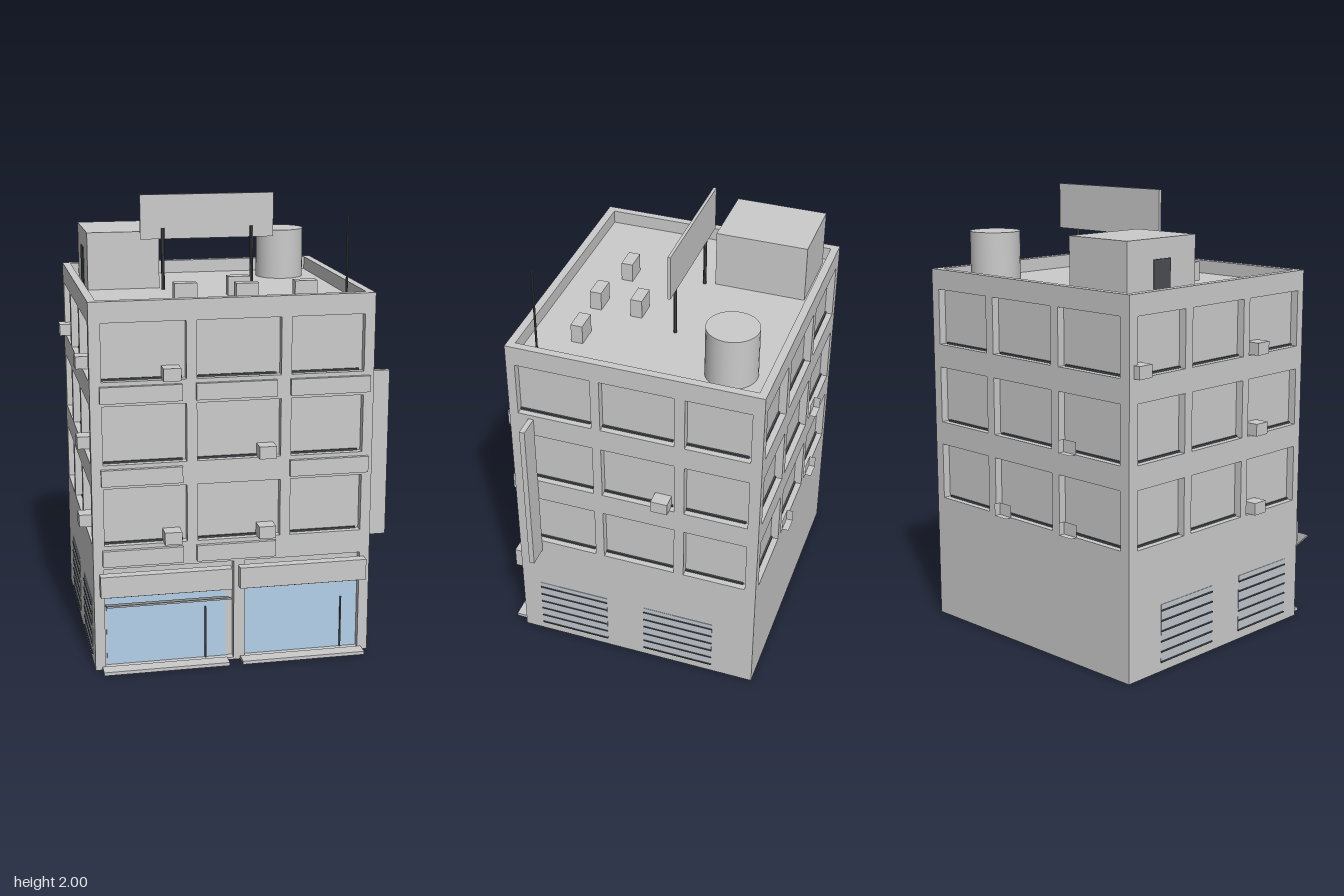
import * as THREE from 'three';

export function createModel() {
  const model = new THREE.Group();
  const paint = (color) => new THREE.MeshStandardMaterial({ color, flatShading: true });
  const grey = paint(0xcccccc), dark = paint(0x4a4d52), shade = paint(0x999999);
  const glass = paint(0xb4d0ea), vent = paint(0xc2c8d0);

  const add = (name, geo, mat = grey) => {
    const mesh = new THREE.Mesh(geo, mat);
    mesh.name = name;
    model.add(mesh);
    return mesh;
  };
  // Box given by its limits on each axis
  const box = (name, x0, x1, y0, y1, z0, z1, mat) => {
    const mesh = add(name, new THREE.BoxGeometry(x1 - x0, y1 - y0, z1 - z0), mat);
    mesh.position.set((x0 + x1) / 2, (y0 + y1) / 2, (z0 + z1) / 2);
    return mesh;
  };

  // Overall sizes
  const L = -0.65, R = 0.58, B = -0.62, F = 0.505, T = 0.035, H = 1.63, ROOF = 1.57;
  const rows = [[1.29, 1.54], [0.93, 1.185], [0.57, 0.825]];
  const columns = [[-0.6, -0.24], [-0.195, 0.17], [0.215, 0.535]];
  const bays = [[-0.465, -0.13], [-0.09, 0.24], [0.285, 0.57]]; // along -z
  const shops = [[-0.605, -0.035], [0.015, 0.535]];

  const grid = (cols) => cols.flatMap(([a, b]) => rows.map(([c, d]) => [a, b, c, d]));
  const outline = (target, [a, b, c, d]) => {
    target.moveTo(a, c).lineTo(b, c).lineTo(b, d).lineTo(a, d).closePath();
    return target;
  };
  // Wall slab with cut window openings
  const wall = (name, u0, u1, holes) => {
    const shape = outline(new THREE.Shape(), [u0, u1, 0, H]);
    shape.holes = holes.map((h) => outline(new THREE.Path(), h));
    return add(name, new THREE.ExtrudeGeometry(shape, { depth: T, bevelEnabled: false }));
  };

  // Core, whose faces close the back of every opening and form the roof
  box('core', L + T, R - T, 0, ROOF, B + T, F - T);
  const shopHoles = shops.map(([a, b]) => [a, b, 0.01, 0.465]);
  wall('frontWall', L, R, [...grid(columns), ...shopHoles]).position.z = F - T;
  wall('backWall', L, R, grid(columns)).position.z = B;
  for (const [name, x] of [['rightWall', R - T], ['leftWall', L]]) {
    const side = wall(name, -F + T, -B - T, grid(bays));
    side.rotation.y = Math.PI / 2;
    side.position.x = x;
  }

  // Dark strip along the foot of each window
  for (const [y] of rows) {
    for (const [a, b] of columns) {
      box('windowSill', a, b - 0.015, y, y + 0.008, F - T, F - T + 0.008, dark);
      box('windowSill', a, b - 0.015, y, y + 0.008, B + T - 0.008, B + T, dark);
    }
    for (const [a, b] of bays) {
      box('windowSill', R - T, R - T + 0.008, y, y + 0.008, -b + 0.015, -a, dark);
      box('windowSill', L + T - 0.008, L + T, y, y + 0.008, -b + 0.015, -a, dark);
    }
  }

  // Shop fronts: glass, lintel, door bar, sign board and step
  const fronts = [
    { pane: [-0.595, -0.065], bar: -0.157, sign: [-0.625, -0.05], step: [-0.62, -0.065] },
    { pane: [0.015, 0.535], bar: 0.46, sign: [-0.015, 0.555], step: [-0.005, 0.55] },
  ];
  for (const { pane, bar, sign, step } of fronts) {
    box('shopGlass', ...pane, 0.01, 0.33, F - T, F - T + 0.004, glass);
    box('shopLintel', ...pane, 0.323, 0.335, F - T, F - T + 0.012, dark);
    box('doorBar', bar - 0.003, bar + 0.003, 0.01, 0.25, F - T, F - T + 0.012, dark);
    box('shopSign', ...sign, 0.35, 0.445, F - 0.003, 0.548);
    box('doorStep', ...step, 0, 0.015, F, 0.568);
  }

  // Tilted awning over one shop
  const awning = box('awning', -0.61, -0.075, 0.327, 0.335, 0.533, 0.652, shade);
  awning.rotation.x = -0.31;

  // Panels below the front windows
  const panels = [[-0.61, -0.26], [-0.2, 0.15], [0.21, 0.56]];
  for (const [col, y] of [[0, 1.2], [1, 1.2], [2, 1.2], [0, 0.84], [2, 0.84], [0, 0.48], [1, 0.48]]) {
    box('windowPanel', ...panels[col], y, y + 0.072, F, 0.523);
  }

  // Cooling units hung at the window feet
  const unit = (x0, x1, row, z0, z1) =>
    box('coolingUnit', x0, x1, rows[row][0], rows[row][0] + 0.055, z0, z1);
  for (const [x, row] of [[-0.343, 0], [0.07, 1], [-0.343, 2], [0.07, 2]]) unit(x, x + 0.075, row, F - T, 0.54);
  for (const [x, row] of [[-0.343, 1], [-0.343, 2], [0.07, 2]]) unit(x, x + 0.075, row, B, -0.65);
  for (const [z, row] of [[0.155, 0], [0.155, 1], [0.155, 2], [-0.593, 0]]) unit(-0.68, L + T, row, z, z + 0.075);
  unit(R - T, 0.61, 1, -0.218, -0.143);

  // Louvred vents on both sides
  for (const [x, s] of [[R, 1], [L, -1]]) {
    for (const z of [0.085, -0.425]) {
      const strip = (name, y0, y1, out, mat) =>
        box(name, Math.min(x, x + s * out), Math.max(x, x + s * out), y0, y1, z, z + 0.33, mat);
      strip('ventPanel', 0.04, 0.3, 0.002, vent);
      for (let i = 0; i < 6; i++) strip('ventSlat', 0.04 + i * 0.046, 0.046 + i * 0.046, 0.006, dark);
    }
  }

  // Blade sign on the side wall
  box('bladeSign', R, 0.678, 0.515, 1.27, 0.395, 0.419);

  // Rooftop
  box('stairHouse', -0.578, -0.25, ROOF, 1.83, -0.56, -0.15);
  box('stairDoor', -0.582, -0.576, ROOF, 1.745, -0.405, -0.305, dark);
  const tank = add('waterTank', new THREE.CylinderGeometry(0.112, 0.112, 1.8 - ROOF, 32),
    new THREE.MeshStandardMaterial({ color: 0xcccccc }));
  tank.position.set(0.376, (ROOF + 1.8) / 2, -0.418);
  box('billboard', -0.342, 0.272, 1.8, 2, -0.116, -0.103);
  const pole = (name, x, z, top, r) => {
    const mesh = add(name, new THREE.CylinderGeometry(r, r, top - ROOF, 8), dark);
    mesh.position.set(x, (ROOF + top) / 2, z);
  };
  for (const x of [-0.24, 0.17]) pole('billboardPost', x, -0.103, 1.85, 0.008);
  pole('antenna', 0.478, 0.405, 1.95, 0.005);
  for (const [x, z] of [[0.017, 0.067], [-0.248, 0.207], [0.015, 0.255], [0.28, 0.237]]) {
    box('roofUnit', x, x + 0.1, ROOF, 1.655, z, z + 0.052);
  }

  return model;
}
